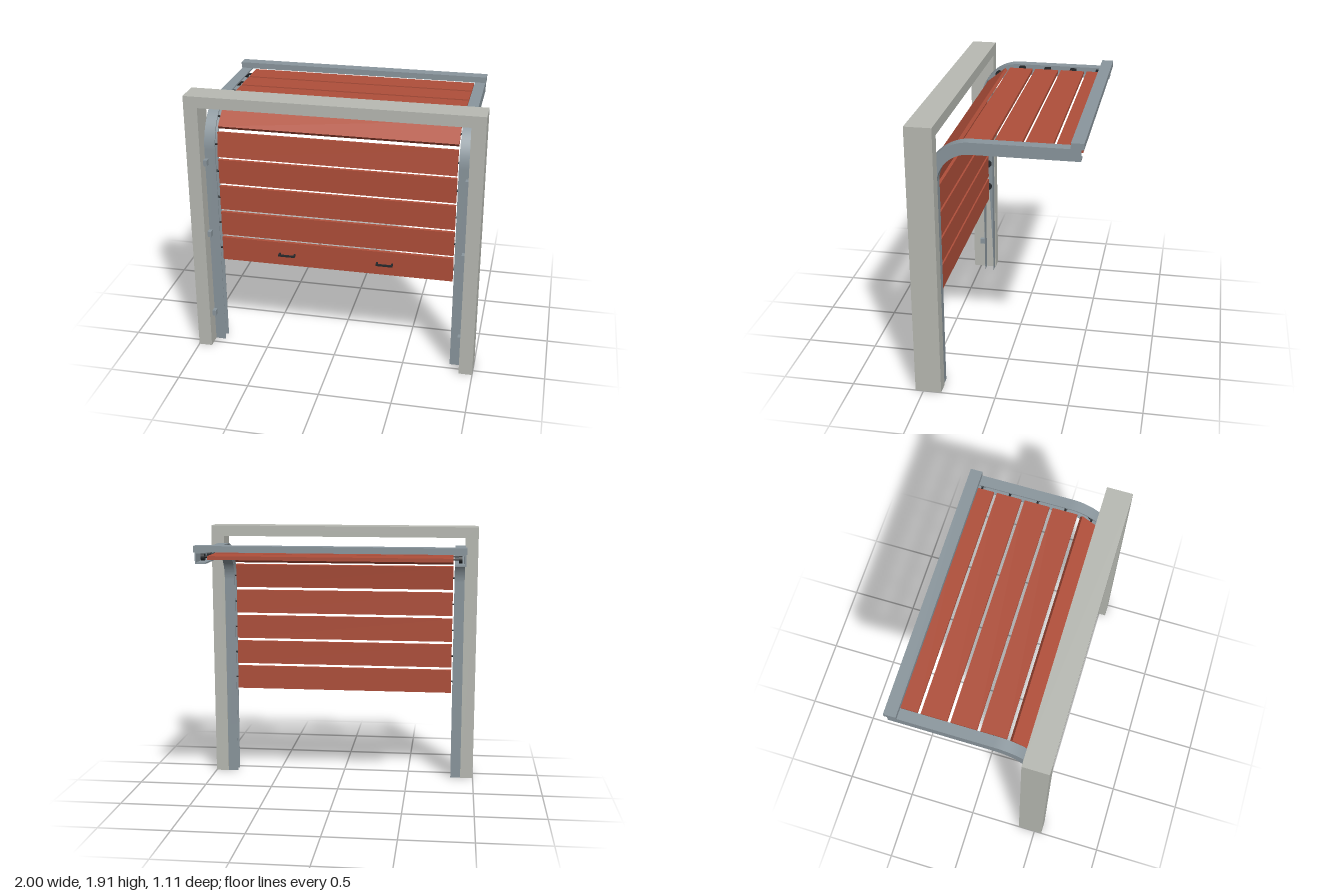
import * as THREE from 'three';
import { toCreasedNormals } from 'three/addons/utils/BufferGeometryUtils.js';

const mat = (color) => new THREE.MeshStandardMaterial({ color });

// Track path: up, around a quarter bend, then back along the ceiling
const BEND_Z = 0.165, BEND_Y = 1.505, R_IN = 0.215, R_OUT = 0.295;
const R_MID = (R_IN + R_OUT) / 2, TRACK_END = -0.535, TRACK_X = 0.905;

// Door
const PANELS = 10, PANEL_H = 0.175, PITCH = 0.197, PANEL_W = 1.64, PANEL_T = 0.025;
const DOOR_BOTTOM = 0.66;

export function createModel() {
  const model = new THREE.Group();
  const concrete = mat(0xb9bbb4), steel = mat(0x8b979e), red = mat(0xb04f3a), dark = mat(0x25282b);

  const add = (parent, name, geometry, material, x = 0, y = 0, z = 0) => {
    const mesh = new THREE.Mesh(geometry, material);
    mesh.name = name;
    mesh.position.set(x, y, z);
    parent.add(mesh);
    return mesh;
  };
  const box = (parent, name, w, h, d, material, x, y, z) =>
    add(parent, name, new THREE.BoxGeometry(w, h, d), material, x, y, z);

  // Door surround: one solid portal
  const portal = new THREE.Shape([
    [-1, 0], [-TRACK_X, 0], [-TRACK_X, 1.837], [TRACK_X, 1.837],
    [TRACK_X, 0], [1, 0], [1, 1.915], [-1, 1.915],
  ].map(([x, y]) => new THREE.Vector2(x, y)));
  add(model, 'doorFrame', new THREE.ExtrudeGeometry(portal, { depth: 0.18, bevelEnabled: false }),
    concrete, 0, 0, 0.375);

  // Side outline of a strip following the track between two bend radii
  const strip = (r0, r1, depth) => {
    const s = new THREE.Shape();
    s.moveTo(BEND_Z + r1, 0);
    s.absarc(BEND_Z, BEND_Y, r1, 0, Math.PI / 2, false);
    s.lineTo(TRACK_END, BEND_Y + r1);
    s.lineTo(TRACK_END, BEND_Y + r0);
    s.absarc(BEND_Z, BEND_Y, r0, Math.PI / 2, 0, true);
    s.lineTo(BEND_Z + r0, 0);
    const g = new THREE.ExtrudeGeometry(s, { depth, bevelEnabled: false, curveSegments: 20 });
    g.rotateY(-Math.PI / 2);
    return toCreasedNormals(g, 0.5);
  };

  for (const side of [1, -1]) {
    // Channel track, open towards the door
    const track = new THREE.Group();
    track.name = side > 0 ? 'leftTrack' : 'rightTrack';
    model.add(track);
    const wall = 0.01;
    for (const [name, r0, r1, depth] of [
      ['trackWeb', R_IN + wall, R_OUT - wall, wall],
      ['trackInnerFlange', R_IN, R_IN + wall, 0.075],
      ['trackOuterFlange', R_OUT - wall, R_OUT, 0.075],
    ]) add(track, name, strip(r0, r1, depth), steel, side > 0 ? TRACK_X : depth - TRACK_X);

    // Wall brackets fixing the track to the frame
    for (const y of [0.24, 0.88, 1.42])
      box(track, 'trackBracket', 0.025, 0.042, 0.04, steel, side * (TRACK_X - 0.0125), y, 0.48);
  }

  // Rear crossbar joining the track ends
  box(model, 'rearCrossbar', 1.82, 0.042, 0.083, steel, 0, 1.82, -0.5115);

  // Position and tilt at a distance along the track centre line
  const straight = BEND_Y - DOOR_BOTTOM, arc = R_MID * Math.PI / 2;
  const along = (d) => {
    if (d < straight) return [DOOR_BOTTOM + d, BEND_Z + R_MID, 0];
    if (d < straight + arc) {
      const a = (d - straight) / R_MID;
      return [BEND_Y + R_MID * Math.sin(a), BEND_Z + R_MID * Math.cos(a), a];
    }
    return [BEND_Y + R_MID, BEND_Z - (d - straight - arc), Math.PI / 2];
  };

  // Door panels with a roller at each end
  const axle = new THREE.CylinderGeometry(0.007, 0.007, 0.07, 10).rotateZ(Math.PI / 2);
  const wheel = new THREE.CylinderGeometry(0.026, 0.026, 0.024, 18).rotateZ(Math.PI / 2);
  for (let i = 0; i < PANELS; i++) {
    const [y, z, tilt] = along(PANEL_H / 2 + i * PITCH);
    const section = new THREE.Group();
    section.name = 'doorSection';
    section.position.set(0, y, z);
    section.rotation.x = -tilt;
    model.add(section);
    box(section, 'panel', PANEL_W, PANEL_H, PANEL_T, red, 0, 0, 0);
    for (const side of [1, -1]) {
      add(section, 'rollerAxle', axle, dark, side * 0.845);
      add(section, 'rollerWheel', wheel, dark, side * 0.868);
    }

    // Pull handles on the bottom panel
    if (i === 0) for (const side of [1, -1]) {
      const handle = new THREE.Group();
      handle.name = 'handle';
      handle.position.set(side * 0.347, 0, PANEL_T / 2);
      section.add(handle);
      box(handle, 'handleGrip', 0.118, 0.012, 0.012, dark, 0, 0, 0.03);
      for (const end of [1, -1])
        box(handle, 'handlePost', 0.012, 0.012, 0.026, dark, end * 0.053, 0, 0.012);
    }
  }

  return model;
}
